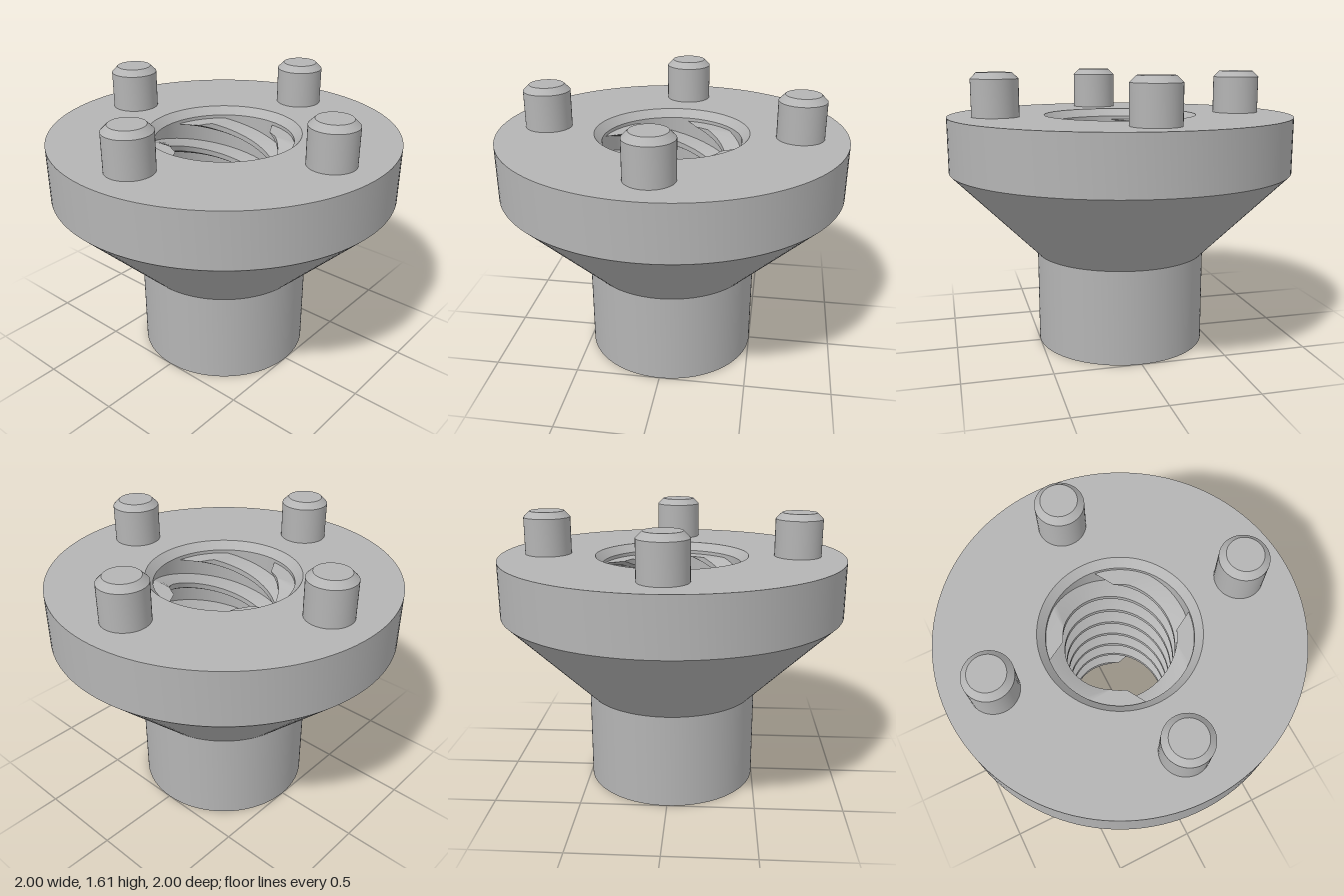
import * as THREE from 'three';
import { toCreasedNormals } from 'three/addons/utils/BufferGeometryUtils.js';

const rad = THREE.MathUtils.degToRad;
const CREASE = rad(30);

// Solid of revolution with crisp edges between smooth bands
function turned(profile, segments) {
  const points = profile.map(([r, y]) => new THREE.Vector2(r, y));
  return toCreasedNormals(new THREE.LatheGeometry(points, segments), CREASE);
}

// One helical rib: a trapezoidal slice, twisted as it rises, cut flat at both ends
function threadRib(bottom, top, lead, topAngle) {
  const rootR = 0.412, crestR = 0.31, rootHalf = rad(23), crestHalf = rad(8);
  const shape = new THREE.Shape();
  shape.absarc(0, 0, rootR, -rootHalf, rootHalf, false);
  shape.absarc(0, 0, crestR, crestHalf, -crestHalf, true);
  shape.closePath();
  const geo = new THREE.ExtrudeGeometry(shape, {
    depth: top - bottom, steps: 110, curveSegments: 8, bevelEnabled: false,
  });
  const pos = geo.attributes.position;
  const v = new THREE.Vector3();
  const axis = new THREE.Vector3(0, 0, 1);
  for (let i = 0; i < pos.count; i++) {
    v.fromBufferAttribute(pos, i);
    const fromTop = v.z - (top - bottom);
    v.applyAxisAngle(axis, topAngle + (fromTop / lead) * Math.PI * 2);
    pos.setXYZ(i, v.x, v.y, v.z);
  }
  geo.rotateX(-Math.PI / 2);
  geo.translate(0, bottom, 0);
  return toCreasedNormals(geo, CREASE);
}

export function createModel() {
  const model = new THREE.Group();
  model.name = 'threadedFlangeNut';
  const metal = new THREE.MeshStandardMaterial({ color: 0xb4b4b4 });
  metal.name = 'plain grey';

  const add = (name, geometry, parent = model) => {
    const mesh = new THREE.Mesh(geometry, metal);
    mesh.name = name;
    parent.add(mesh);
    return mesh;
  };

  // Sleeve, cone and flange with a chamfered through-bore
  add('body', turned([
    [0.402, 0.045], [0.445, 0], [0.5, 0], [0.5, 0.55], [1, 1.05],
    [1, 1.365], [0.445, 1.365], [0.402, 1.32], [0.402, 0.045],
  ], 128));

  // Four-start right-handed internal thread
  const thread = new THREE.Group();
  thread.name = 'internalThread';
  model.add(thread);
  const rib = threadRib(0.05, 1.3, 0.727, rad(62));
  for (let i = 0; i < 4; i++) {
    add('threadRib', rib, thread).rotation.y = (i * Math.PI) / 2;
  }

  // Four chamfered pegs standing on the flange
  const peg = turned([
    [0, 0], [0.135, 0], [0.135, 0.215], [0.1, 0.25], [0, 0.25],
  ], 48);
  for (let i = 0; i < 4; i++) {
    const a = (i * Math.PI) / 2;
    add('peg', peg).position.set(0.727 * Math.cos(a), 1.363, 0.727 * Math.sin(a));
  }

  return model;
}
